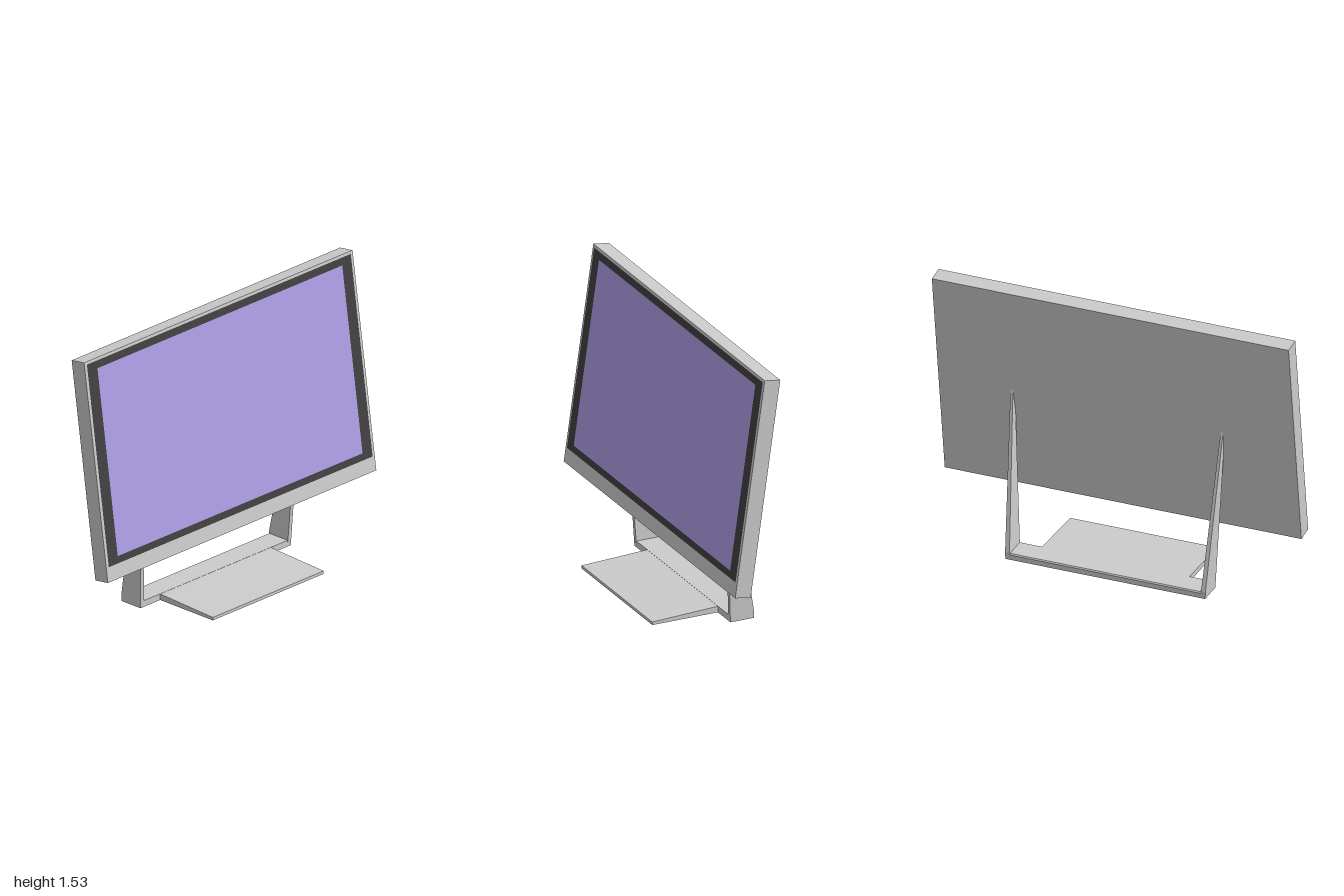
import * as THREE from 'three';

const grey = new THREE.MeshStandardMaterial({ color: 0xcccccc });
const dark = new THREE.MeshStandardMaterial({ color: 0x404040 });
const violet = new THREE.MeshStandardMaterial({ color: 0xae9de5 });

function addMesh(parent, name, geometry, material) {
  const mesh = new THREE.Mesh(geometry, material);
  mesh.name = name;
  parent.add(mesh);
  return mesh;
}

// Extrude a (z, y) side profile along x, centred on x = 0
function extrudeX(points, width) {
  const shape = new THREE.Shape(points.map(([z, y]) => new THREE.Vector2(z, y)));
  const geometry = new THREE.ExtrudeGeometry(shape, { depth: width, bevelEnabled: false });
  return geometry.translate(0, 0, -width / 2).rotateY(-Math.PI / 2);
}

// Tapered leg that leans outward and thins towards the top
function legGeometry(side) {
  const geometry = extrudeX([[-0.12, 0], [-0.255, 0], [-0.255, 0.04], [-0.102, 0.91], [-0.083, 0.775]], 1);
  const pos = geometry.attributes.position;
  for (let i = 0; i < pos.count; i++) {
    const y = pos.getY(i);
    const outer = pos.getX(i) * side > 0;
    pos.setX(i, side * (outer ? 0.56 + 0.04 * y : 0.535 + 0.052 * y));
  }
  geometry.computeVertexNormals();
  return geometry;
}

export function createModel() {
  const model = new THREE.Group();
  model.name = 'monitor';

  // Tilted display panel
  const panel = new THREE.Group();
  panel.name = 'displayPanel';
  panel.position.set(0, 0.929, -0.06);
  panel.rotation.x = -0.142;
  model.add(panel);
  addMesh(panel, 'housing', new THREE.BoxGeometry(2, 1.202, 0.09), grey);

  // Dark border with the screen laid on it
  addMesh(panel, 'bezel', new THREE.PlaneGeometry(1.966, 1.106), dark).position.set(0, 0.033, 0.0465);
  addMesh(panel, 'screen', new THREE.PlaneGeometry(1.824, 1.026), violet).position.set(0, 0.032, 0.048);

  // Stand: two legs, crossbar and wedge foot
  const stand = new THREE.Group();
  stand.name = 'stand';
  model.add(stand);
  addMesh(stand, 'leftLeg', legGeometry(1), grey);
  addMesh(stand, 'rightLeg', legGeometry(-1), grey);
  addMesh(stand, 'crossbar', extrudeX([[-0.12, 0], [-0.255, 0], [-0.255, 0.028], [-0.25, 0.035], [-0.12, 0.035]], 1.072), grey);
  addMesh(stand, 'foot', extrudeX([[0.257, 0], [-0.12, 0], [-0.12, 0.034], [0.257, 0.017]], 0.826), grey);

  return model;
}
